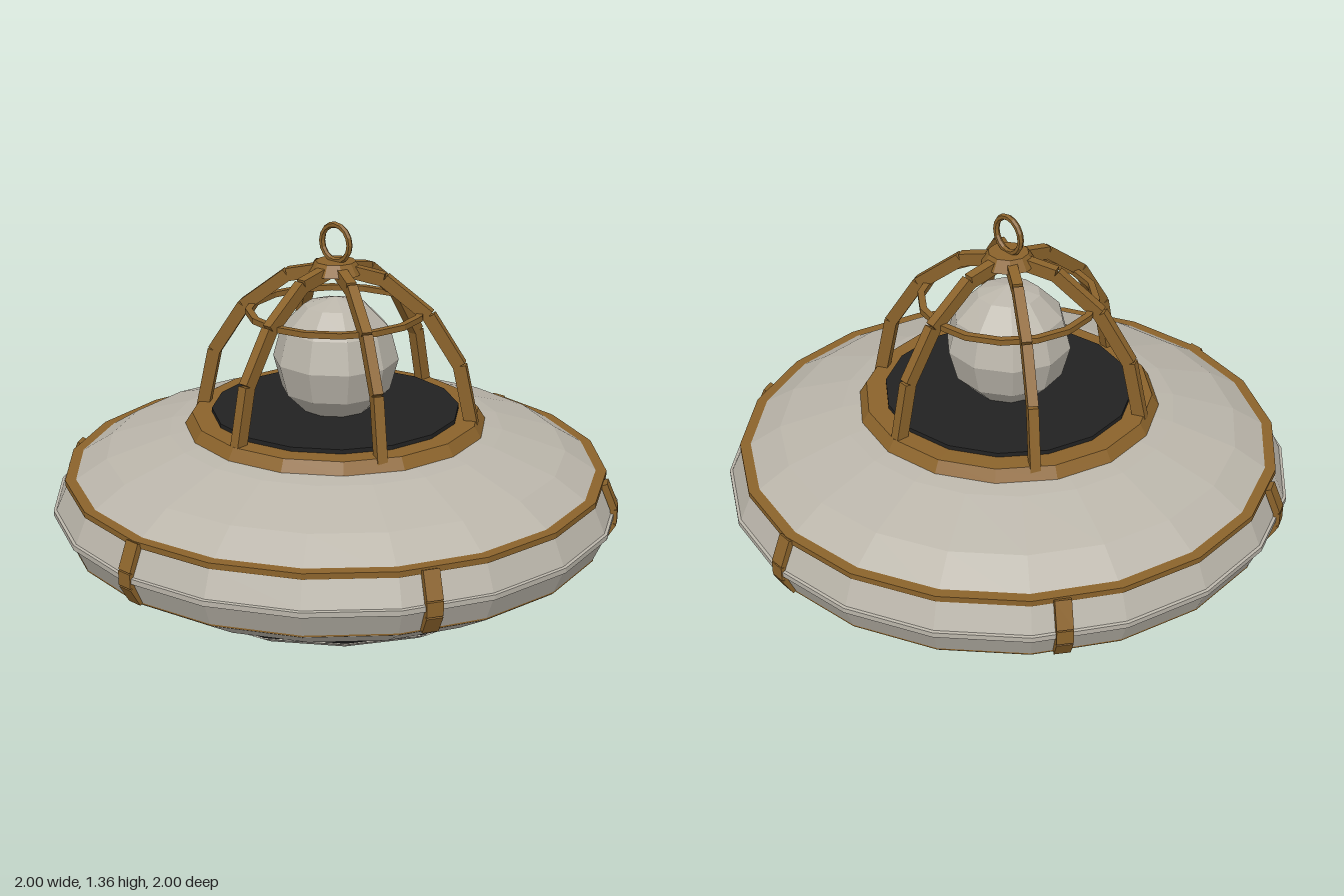
import * as THREE from 'three';

const shell = new THREE.MeshStandardMaterial({ color: 0xbab5aa });
shell.name = 'pale shell';
const bronze = new THREE.MeshStandardMaterial({ color: 0x8b632b });
bronze.name = 'bronze trim';
const dark = new THREE.MeshStandardMaterial({ color: 0x222222 });
dark.name = 'dark panel';

// Faceted mesh
function part(name, geometry, material) {
  const flat = geometry.index ? geometry.toNonIndexed() : geometry;
  flat.computeVertexNormals();
  const mesh = new THREE.Mesh(flat, material);
  mesh.name = name;
  return mesh;
}

// Turned solid; profile runs from bottom centre, outwards and up
function turned(name, profile, sides, material) {
  const points = profile.map(([r, y]) => new THREE.Vector2(r, y));
  return part(name, new THREE.LatheGeometry(points, sides), material);
}

// Ring of rectangular section
function band(name, r0, r1, y0, y1, sides, material) {
  return turned(name, [[r0, y0], [r1, y0], [r1, y1], [r0, y1], [r0, y0]], sides, material);
}

// Straight bar between two points in the xy plane
function bar(name, [x0, y0], [x1, y1], thick, width, material) {
  const dx = x1 - x0, dy = y1 - y0;
  const mesh = part(name, new THREE.BoxGeometry(Math.hypot(dx, dy), thick, width), material);
  mesh.position.set((x0 + x1) / 2, (y0 + y1) / 2, 0);
  mesh.rotation.z = Math.atan2(dy, dx);
  return mesh;
}

export function createModel() {
  const model = new THREE.Group();
  model.name = 'flyingSaucer';

  // Flattened hull with a thin rim at its widest point
  const lower = [], upper = [];
  for (let i = 1; i <= 3; i++) {
    const a = i * Math.PI / 10;
    lower.unshift([Math.cos(a), 0.375 - 0.32 * Math.sin(a)]);
    upper.push([Math.cos(a), 0.375 + 0.32 * Math.sin(a)]);
  }
  model.add(turned('hull', [
    [0, 0.1], ...lower, [0.99, 0.365], [1, 0.367], [1, 0.385], [0.99, 0.387],
    ...upper, [0.31, 0.679], [0, 0.69],
  ], 20, shell));

  // Underside: dark skirt, pale step and dark belly
  model.add(turned('skirt', [[0.69, 0.122], [0.82, 0.208]], 16, dark));
  model.add(turned('undersideStep', [[0.5, 0.086], [0.64, 0.086], [0.70, 0.123], [0.6, 0.123]], 16, shell));
  model.add(turned('belly', [[0, 0], [0.38, 0.033], [0.61, 0.086], [0.5, 0.1]], 16, dark));

  // Trim hoops above and below the rim
  model.add(band('upperHoop', 0.91, 0.955, 0.475, 0.495, 20, bronze));
  model.add(band('lowerHoop', 0.91, 0.955, 0.28, 0.3, 20, bronze));

  // Cockpit collar and floor
  model.add(turned('collar', [
    [0.42, 0.63], [0.53, 0.645], [0.505, 0.685], [0.435, 0.685], [0.42, 0.63],
  ], 16, bronze));
  model.add(turned('cockpitFloor', [[0.435, 0.66], [0.435, 0.7], [0, 0.7]], 16, dark));

  // Faceted orb
  const orb = [];
  for (let i = 0; i <= 6; i++) {
    const a = -Math.PI / 2 + i * Math.PI / 6;
    orb.push([i % 6 ? 0.22 * Math.cos(a) : 0, 0.88 + 0.22 * Math.sin(a)]);
  }
  model.add(turned('orb', orb, 10, shell));

  // Six cage ribs and rim straps
  const ribPath = [[0.485, 0.66], [0.437, 0.88], [0.327, 1.05], [0.17, 1.17], [0.02, 1.2]];
  const strapPath = [[0.95, 0.285], [0.988, 0.35], [0.988, 0.4], [0.95, 0.49]];
  for (let k = 0; k < 6; k++) {
    const spoke = new THREE.Group();
    spoke.name = 'ribAndStrap';
    spoke.rotation.y = k * Math.PI / 3;
    for (let i = 0; i < 4; i++) {
      spoke.add(bar('cageRib', ribPath[i], ribPath[i + 1], 0.045, 0.035, bronze));
    }
    for (let i = 0; i < 3; i++) {
      spoke.add(bar('rimStrap', strapPath[i], strapPath[i + 1], 0.024, 0.055, bronze));
    }
    model.add(spoke);
  }

  // Cage hoop, hub and top loop
  model.add(band('cageHoop', 0.288, 0.312, 1.04, 1.06, 16, bronze));
  model.add(turned('cageHub', [[0, 1.185], [0.095, 1.185], [0.07, 1.226], [0, 1.226]], 10, bronze));
  const loop = part('topLoop', new THREE.TorusGeometry(0.063, 0.011, 6, 16), bronze);
  loop.rotation.y = Math.PI / 2;
  loop.position.y = 1.288;
  model.add(loop);

  return model;
}
